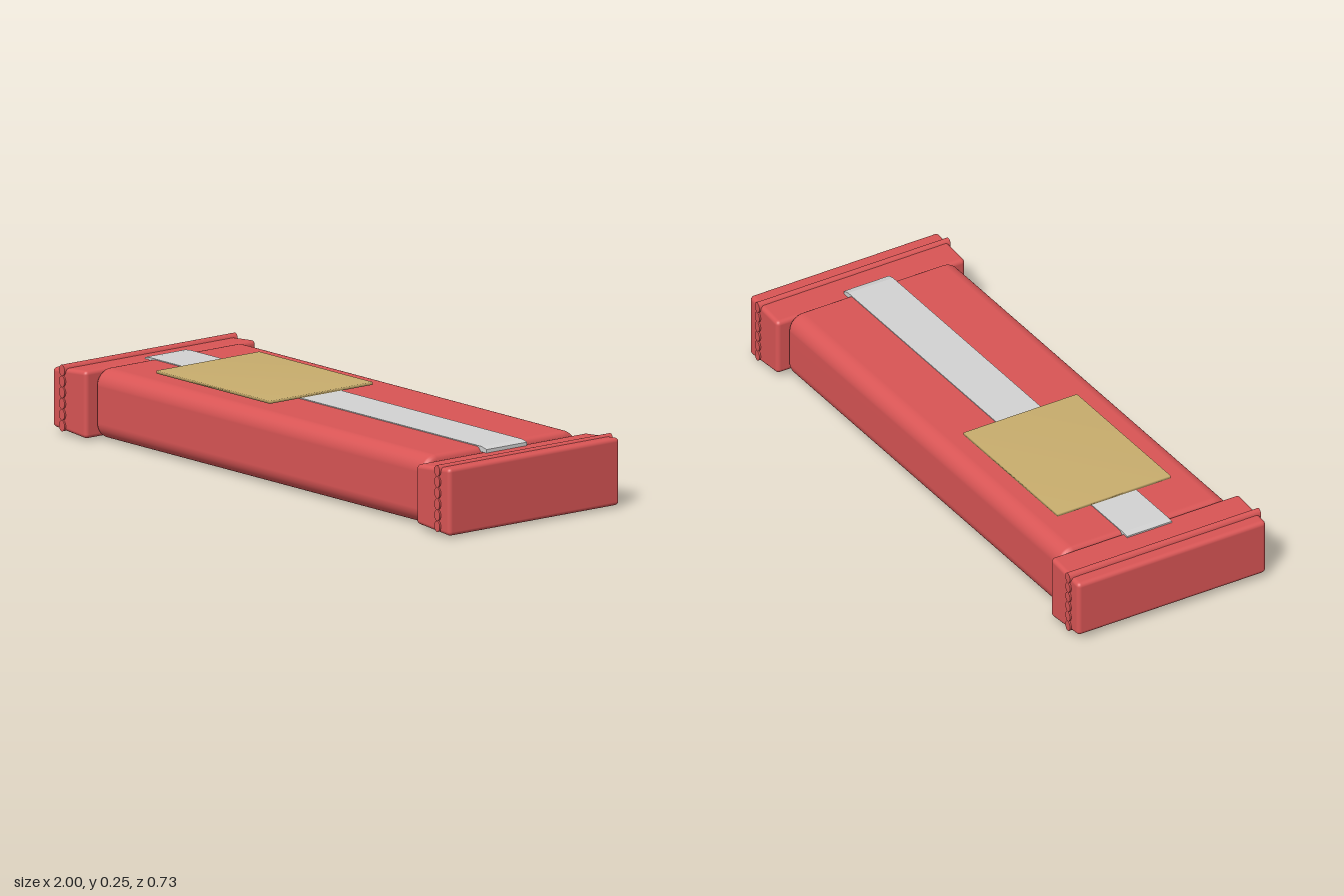
import * as THREE from 'three';
import { mergeVertices } from 'three/addons/utils/BufferGeometryUtils.js';
import { RoundedBoxGeometry } from 'three/addons/geometries/RoundedBoxGeometry.js';

const red = new THREE.MeshStandardMaterial({ name: 'red wrapper', color: 0xd95555 });
const silver = new THREE.MeshStandardMaterial({ name: 'silver band', color: 0xd2d2d2 });
const gold = new THREE.MeshStandardMaterial({ name: 'gold label', color: 0xc8ad6d });

const MID = 0.12; // mid height of the bar

function addMesh(parent, name, geometry, material) {
  const mesh = new THREE.Mesh(geometry, material);
  mesh.name = name;
  parent.add(mesh);
  return mesh;
}

// One normal per corner, so the shading runs softly across the faces
function smooth(geometry) {
  geometry.deleteAttribute('normal');
  geometry.deleteAttribute('uv');
  const merged = mergeVertices(geometry, 1e-4);
  merged.computeVertexNormals();
  return merged;
}

function roundedRect(w, h, r) {
  const s = new THREE.Shape();
  const x = w / 2, y = h / 2;
  s.absarc(x - r, y - r, r, 0, Math.PI / 2);
  s.absarc(-x + r, y - r, r, Math.PI / 2, Math.PI);
  s.absarc(-x + r, -y + r, r, Math.PI, Math.PI * 1.5);
  s.absarc(x - r, -y + r, r, Math.PI * 1.5, Math.PI * 2);
  s.closePath();
  return s;
}

// Long bar with rounded edges, running along x
function bodyGeometry() {
  const bevel = 0.02;
  const g = new THREE.ExtrudeGeometry(roundedRect(0.64 - 2 * bevel, 0.23 - 2 * bevel, 0.035), {
    depth: 1.66 - 2 * bevel, bevelThickness: bevel, bevelSize: bevel, bevelSegments: 4, curveSegments: 6,
  });
  g.translate(0, 0, -0.83 + bevel);
  g.rotateY(Math.PI / 2);
  return smooth(g);
}

// End block whose height grows towards +x
function capGeometry() {
  const g = new RoundedBoxGeometry(0.17, 1, 0.715, 3, 0.014);
  const p = g.attributes.position;
  for (let i = 0; i < p.count; i++) {
    const t = p.getX(i) / 0.17 + 0.5;
    const half = THREE.MathUtils.lerp(0.098, 0.1125, t);
    const y = p.getY(i);
    p.setY(i, Math.sign(y) * (half - (0.5 - Math.abs(y))));
  }
  return g;
}

// Thin band with gently drooping ends
function bandGeometry() {
  const s = new THREE.Shape();
  s.moveTo(-0.86, 0.1);
  s.lineTo(0.86, 0.1);
  s.lineTo(0.86, 0.112);
  s.lineTo(0.835, 0.118);
  s.lineTo(-0.835, 0.118);
  s.lineTo(-0.86, 0.115);
  s.closePath();
  const g = new THREE.ExtrudeGeometry(s, { depth: 0.17, bevelEnabled: false });
  g.translate(0, 0, -0.085);
  return g;
}

export function createModel() {
  const model = new THREE.Group();
  model.name = 'wrappedBar';

  addMesh(model, 'body', bodyGeometry(), red).position.y = MID;

  // End caps, each with a stack of crimp ridges
  for (const side of [-1, 1]) {
    const end = new THREE.Group();
    end.name = side < 0 ? 'rightEnd' : 'leftEnd';
    model.add(end);
    addMesh(end, 'endCap', capGeometry(), red).position.set(side * 0.915, MID, 0);
    for (let i = 0; i < 6; i++) {
      const ridge = addMesh(end, 'crimpRidge', new THREE.CylinderGeometry(1, 1, 0.726, 16), red);
      ridge.rotation.x = Math.PI / 2;
      ridge.scale.set(0.014, 1, 0.0185);
      ridge.position.set(side * 0.944, 0.034 + i * 0.0367, 0);
    }
  }

  // Bands along the top and the underside
  const band = bandGeometry();
  addMesh(model, 'topBand', band, silver).position.y = MID;
  const under = addMesh(model, 'bottomBand', band, silver);
  under.position.y = MID;
  under.rotation.z = Math.PI;

  // Label plate on top
  const label = smooth(new THREE.BoxGeometry(0.57, 0.0095, 0.43));
  addMesh(model, 'label', label, gold).position.set(-0.36, 0.2425, 0);

  return model;
}
